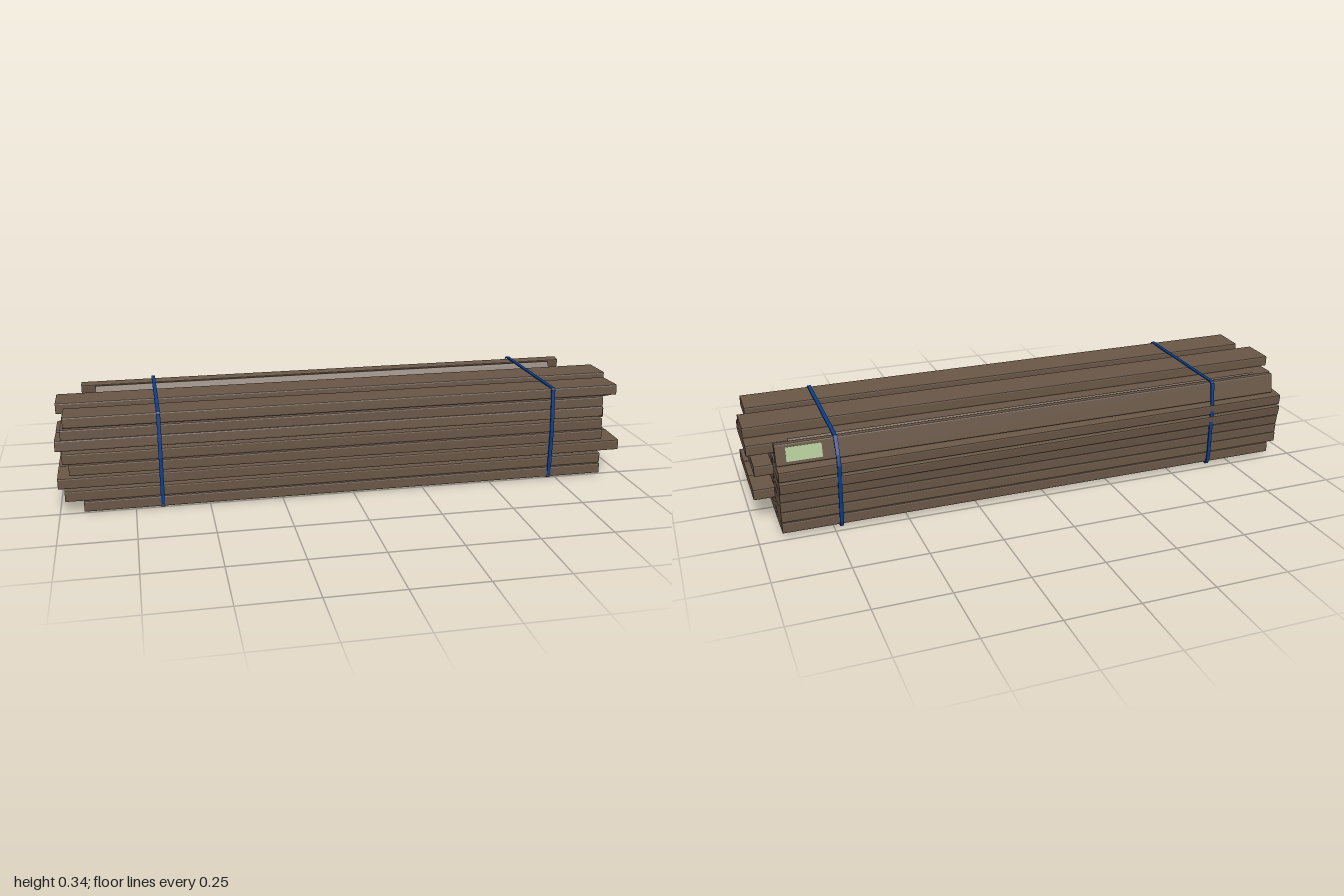
import * as THREE from 'three';

const wood = new THREE.MeshStandardMaterial({ color: 0x685646 });
wood.name = 'weathered wood';
const strapBlue = new THREE.MeshStandardMaterial({ color: 0x0a3d8a });
strapBlue.name = 'strap blue';
const labelGreen = new THREE.MeshStandardMaterial({ color: 0xb0c896 });
labelGreen.name = 'label green';

// Profiles are drawn as (-z, y) and extruded along x
function extrudeAlongX(shape, length) {
  const geo = new THREE.ExtrudeGeometry(shape, { depth: length, bevelEnabled: false, curveSegments: 2 });
  return geo.translate(0, 0, -length / 2).rotateY(Math.PI / 2);
}

// Rectangle with slightly eased corners
function plankShape(w, h, r = 0.005) {
  const s = new THREE.Shape();
  const x = w / 2, y = h / 2;
  s.moveTo(-x + r, -y);
  s.lineTo(x - r, -y).quadraticCurveTo(x, -y, x, -y + r);
  s.lineTo(x, y - r).quadraticCurveTo(x, y, x - r, y);
  s.lineTo(-x + r, y).quadraticCurveTo(-x, y, -x, y - r);
  s.lineTo(-x, -y + r).quadraticCurveTo(-x, -y, -x + r, -y);
  return s;
}

// z and y locate the end at +x; roll is in degrees, yaw in radians
function makePlank(name, { z, y, w, h = 0.038, roll = 0, left = 0.92, right = 0.92, yaw = 0 }) {
  const plank = new THREE.Mesh(extrudeAlongX(plankShape(w, h), left + right), wood);
  plank.name = name;
  plank.rotation.order = 'YXZ';
  plank.rotation.set(THREE.MathUtils.degToRad(roll), yaw, 0);
  plank.position.set((right - left) / 2, y, z + yaw * 0.92);
  return plank;
}

// Rows from the bottom up: height, sideways shift, reach of the longest boards, roll of the outer boards
const rowY = [0.032, 0.072, 0.111, 0.156, 0.195, 0.236, 0.275, 0.315];
const rowShift = [0.004, 0, 0, 0.004, 0, -0.004, -0.006, -0.009];
const reachLeft = [0.92, 0.98, 1, 0.96, 0.98, 1, 0.98, 0.97];
const reachRight = [0.92, 0.98, 0.99, 0.92, 0.98, 0.92, 1, 0.97];
const frontRoll = [0, 2, 2, 1, 1, -4, -1, -2];
const backRoll = [0, -1, -4, -9, -9, -6];

function makeStack() {
  const stack = new THREE.Group();
  stack.name = 'stackedPlanks';
  rowY.forEach((y, r) => {
    // Upper rows lose their back boards
    const count = r < 6 ? 4 : r === 6 ? 3 : 1;
    for (let c = 0; c < count; c++) {
      const front = c === 0, back = c === 3;
      const slipped = back && r > 3;
      const longLeft = c < 2 || (c === 2 && r % 2 === 0);
      const longRight = front ? r % 5 === 2 : longLeft;
      stack.add(makePlank(`plankRow${r + 1}Column${c + 1}`, {
        z: 0.191 - c * 0.12 + (back ? 0 : rowShift[r]) - (slipped ? 0.026 : back && r === 3 ? 0.004 : 0),
        y: y - (front && r < 2 ? 0.007 : 0) - (back && r > 2 ? 0.004 : 0),
        w: back ? 0.116 : 0.12,
        roll: front ? frontRoll[r] : back ? backRoll[r] : c === 1 && r < 2 ? 3 : -1,
        left: longLeft ? reachLeft[r] : Math.min(0.95, reachLeft[r]),
        right: longRight ? reachRight[r] : 0.92,
        yaw: slipped ? 0.008 : 0,
      }));
    }
  });
  return stack;
}

// Flat band around the stack; bulge pushes its back out around the slipped boards
function makeStrap(name, x, bulge) {
  const outline = [
    [0.25, 0.333], [0.244, 0.339], [-0.222, 0.334], [-0.229, 0.328],
    [-0.235 - bulge * 0.8, 0.275], [-0.24 - bulge, 0.24], [-0.238, 0.06], [-0.235, 0.025], [-0.227, 0.006],
    [0.25, 0.002], [0.257, 0.016], [0.261, 0.18], [0.257, 0.25],
  ].map(([z, y]) => new THREE.Vector2(-z, y));
  const shape = new THREE.Shape(outline);
  const inner = outline.map(p => new THREE.Vector2(p.x * 0.98, 0.17 + (p.y - 0.17) * 0.97));
  shape.holes.push(new THREE.Path(inner));
  const strap = new THREE.Mesh(extrudeAlongX(shape, 0.013), strapBlue);
  strap.name = name;
  strap.position.x = x;
  return strap;
}

export function createModel() {
  const group = new THREE.Group();
  group.name = 'plankBundle';
  group.add(makeStack());

  // Loose boards on top: one flat, one leaning, one on edge
  group.add(makePlank('topPlank', { z: 0.008, y: 0.314, w: 0.125, roll: -1, left: 1, right: 1 }));
  group.add(makePlank('leaningBatten', {
    z: -0.152, y: 0.288, w: 0.07, h: 0.028, roll: 47, left: 0.87, right: 0.87,
  }));
  const edgeBoard = makePlank('edgeBoard', {
    z: -0.206, y: 0.288, w: 0.074, h: 0.034, roll: 100, yaw: 0.002,
  });

  // Paper tag on the outer face of the edge board
  const tag = new THREE.Mesh(new THREE.BoxGeometry(0.117, 0.002, 0.048), labelGreen);
  tag.name = 'tag';
  tag.position.set(0.828, -0.017, 0);
  edgeBoard.add(tag);
  group.add(edgeBoard);

  group.add(makeStrap('rightStrap', -0.66, 0));
  group.add(makeStrap('leftStrap', 0.725, 0.021));
  return group;
}
